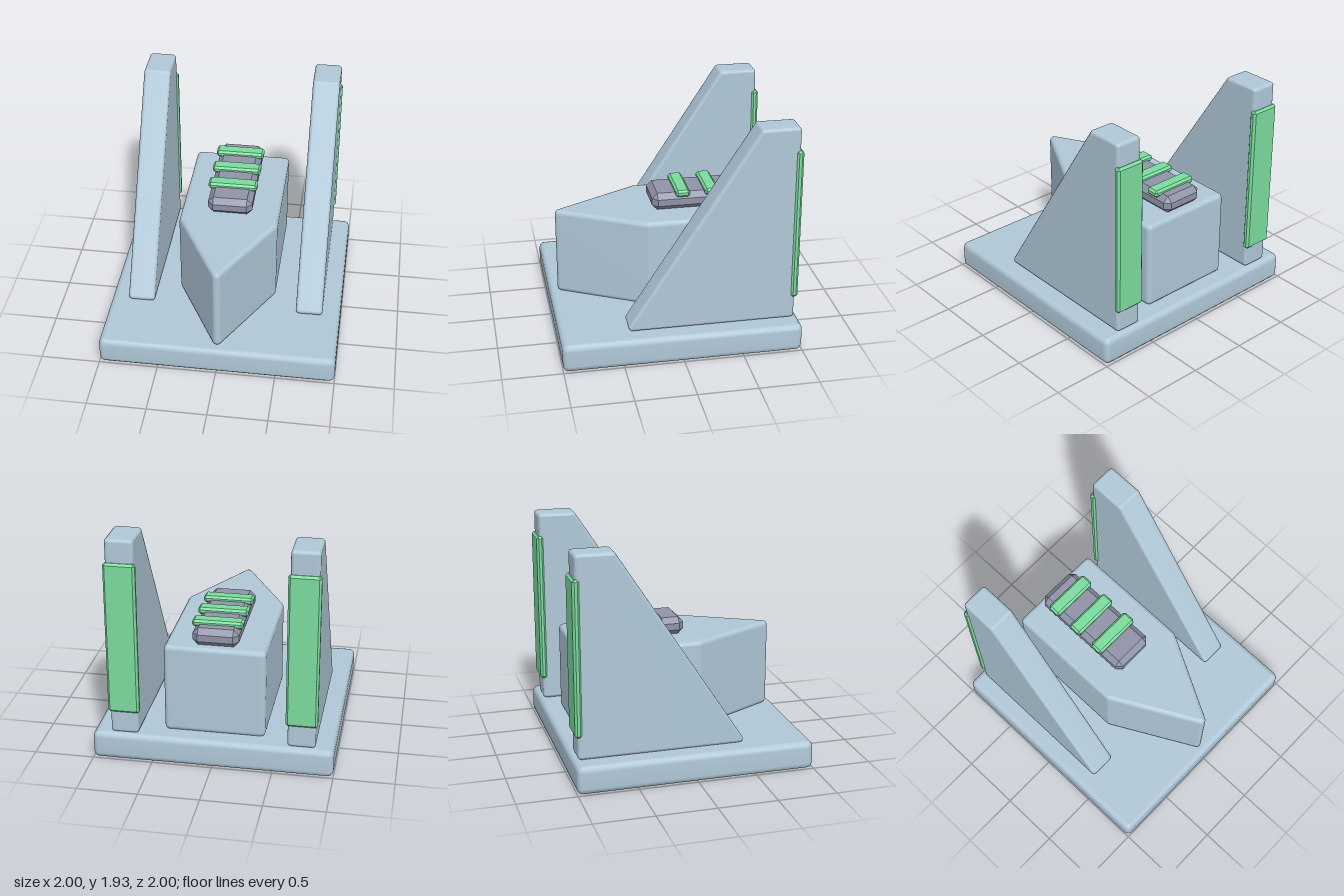
import * as THREE from 'three';
import { mergeVertices } from 'three/addons/utils/BufferGeometryUtils.js';
import { ConvexGeometry } from 'three/addons/geometries/ConvexGeometry.js';

const paint = (name, color) => {
  const m = new THREE.MeshStandardMaterial({ color });
  m.name = name;
  return m;
};

// Slab with all edges rounded: arcs of radius r around counter-clockwise core points,
// extruded along z and centred on z = 0
function roundedSlab(core, r, thickness) {
  const shape = new THREE.Shape();
  const n = core.length;
  const outward = (a, b) => Math.atan2(a[0] - b[0], b[1] - a[1]);
  core.forEach((p, i) => {
    const a0 = outward(core[(i + n - 1) % n], p);
    const a1 = outward(p, core[(i + 1) % n]);
    shape.absarc(p[0], p[1], r, a0, a1, false);
  });
  const bevel = r * 0.85;
  const geo = new THREE.ExtrudeGeometry(shape, {
    depth: thickness - 2 * r, curveSegments: 3,
    bevelThickness: r, bevelSize: bevel, bevelOffset: -bevel, bevelSegments: 3,
  });
  geo.translate(0, 0, r - thickness / 2);
  // Shared corners give smooth edges while the large faces stay flat
  geo.deleteAttribute('normal');
  geo.deleteAttribute('uv');
  const smooth = mergeVertices(geo.translate(0, 0, -r), 1e-4);
  smooth.computeVertexNormals();
  smooth.computeBoundingBox();
  const { min, max } = smooth.boundingBox;
  return smooth.translate(0, 0, -(min.z + max.z) / 2);
}

// Box with flat chamfers on every edge
function chamferBox(w, h, d, c) {
  const points = [];
  for (const x of [-w / 2, w / 2]) for (const y of [-h / 2, h / 2]) for (const z of [-d / 2, d / 2]) {
    const sx = Math.sign(x) * c, sy = Math.sign(y) * c, sz = Math.sign(z) * c;
    points.push(
      new THREE.Vector3(x, y - sy, z - sz),
      new THREE.Vector3(x - sx, y, z - sz),
      new THREE.Vector3(x - sx, y - sy, z),
    );
  }
  return new ConvexGeometry(points);
}

export function createModel() {
  const model = new THREE.Group();
  const blue = paint('pale blue', 0xb0c8d8);
  const grey = paint('slate grey', 0x9094a8);
  const green = paint('mint green', 0x7bdc9e);

  const add = (name, geo, mat, x, y, z) => {
    const mesh = new THREE.Mesh(geo, mat);
    mesh.name = name;
    mesh.position.set(x, y, z);
    model.add(mesh);
  };

  // Square base
  const base = roundedSlab([[-0.95, -0.95], [0.95, -0.95], [0.95, 0.95], [-0.95, 0.95]], 0.05, 0.235);
  add('base', base.rotateX(-Math.PI / 2), blue, 0, 0.1175, 0);

  // Wedge-nosed centre block
  const hull = roundedSlab(
    [[0, -0.89], [0.38, -0.187], [0.38, 0.81], [-0.38, 0.81], [-0.38, -0.187]], 0.04, 0.765);
  add('centreBlock', hull.rotateX(-Math.PI / 2), blue, 0, 0.6175, 0);

  // Raised spine with cross strips
  add('spine', chamferBox(0.38, 0.15, 0.93, 0.046), grey, 0, 1.073, -0.347);
  const strip = chamferBox(0.42, 0.06, 0.12, 0.018);
  for (const z of [-0.64, -0.39, -0.14]) add('crossStrip', strip, green, 0, 1.15, z);

  // Sloping side fins with a panel on each rear edge
  const fin = roundedSlab(
    [[0.405, 0.265], [-0.655, 1.9], [-0.93, 1.9], [-0.93, 0.265]], 0.03, 0.23).rotateY(-Math.PI / 2);
  const panel = chamferBox(0.26, 1.305, 0.06, 0.018);
  for (const side of [-1, 1]) {
    const label = side > 0 ? 'left' : 'right';
    add(label + 'Fin', fin, blue, side * 0.732, 0, 0);
    add(label + 'RearPanel', panel, green, side * 0.732, 1.083, -0.953);
  }
  return model;
}
